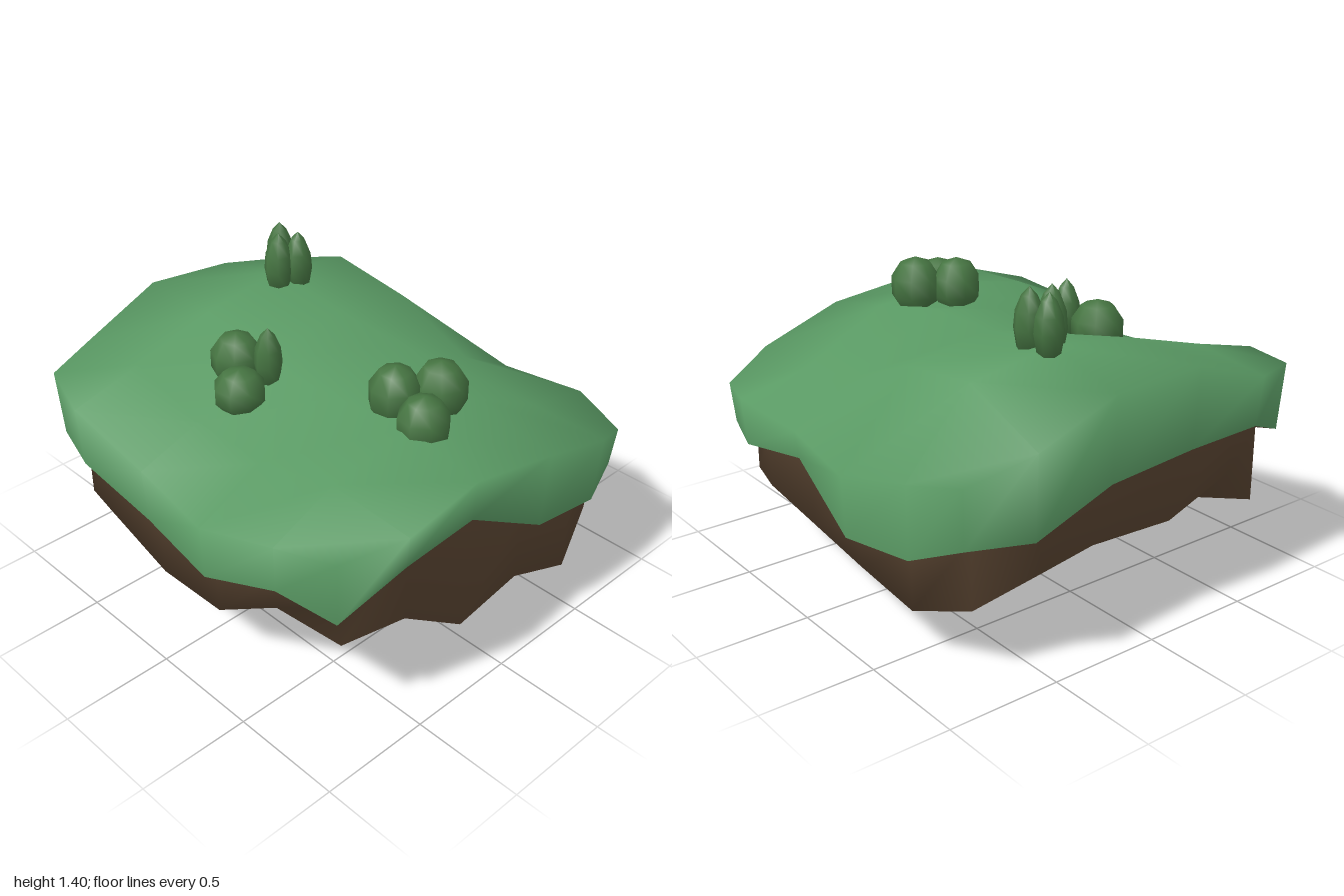
import * as THREE from 'three';
import { mergeVertices } from 'three/addons/utils/BufferGeometryUtils.js';

const N = 6; // grid points per side
const GRID = [-1, -0.6, -0.2, 0.2, 0.6, 1];

// Heights of the turf, one row per z (back to front), one column per x (left to right on screen)
const TURF = [
  [0.86, 0.79, 0.69, 0.74, 0.77, 0.74],
  [0.97, 1.12, 1.07, 0.91, 0.84, 0.84],
  [1.09, 1.18, 1.14, 1.13, 1.05, 0.97],
  [1.12, 1.13, 1.04, 1.05, 1.09, 1.03],
  [0.98, 1.02, 0.92, 0.92, 1.02, 1.00],
  [0.96, 0.94, 0.82, 0.77, 0.89, 0.94],
];
// Heights of the rock underside on the same layout
const ROCK = [
  [0.31, 0.22, 0.26, 0.31, 0.36, 0.33],
  [0.42, 0.20, 0.12, 0.14, 0.13, 0.19],
  [0.47, 0.22, 0.00, 0.12, 0.09, 0.32],
  [0.44, 0.25, 0.05, 0.19, 0.23, 0.26],
  [0.56, 0.32, 0.20, 0.26, 0.41, 0.50],
  [0.33, 0.40, 0.28, 0.29, 0.53, 0.46],
];
// Sideways shifts of the lowest rock points, by column and row
const NUDGE = { '2,2': [-0.09, -0.07], '2,3': [0.08, 0.11], '4,2': [-0.14, 0] };

// Lower edge of the overhanging turf, walked around the perimeter
const LIP = [
  0.60, 0.61, 0.72, 0.77, 0.76, 0.66, 0.67, 0.57, 0.52, 0.67,
  0.64, 0.85, 0.84, 0.62, 0.53, 0.56, 0.56, 0.62, 0.42, 0.47,
];

// Perimeter cells: left side, front, right side, back
const PERIMETER = [];
for (let k = 0; k < N - 1; k++) PERIMETER.push([0, k]);
for (let k = 0; k < N - 1; k++) PERIMETER.push([k, 5]);
for (let k = 5; k > 0; k--) PERIMETER.push([5, k]);
for (let k = 5; k > 0; k--) PERIMETER.push([k, 0]);

const onSide = (k) => k === 0 || k === N - 1;

// Slightly wavy square outline with cut corners
function turfPoint(i, j) {
  let x = GRID[i], z = GRID[j];
  const even = (i + j) % 2 === 0;
  if (onSide(i) && onSide(j)) { x *= 0.88; z *= 0.84; }
  else if (onSide(i)) x *= even ? 0.97 : 1;
  else if (onSide(j)) z *= even ? 0.93 : 0.9;
  return [x, TURF[j][i], z];
}

// Narrower outline with cut corners
function rockPoint(i, j) {
  const s = onSide(i) && onSide(j) ? 0.9 : 1;
  const [dx, dz] = NUDGE[`${i},${j}`] ?? [0, 0];
  return [GRID[i] * 0.9 * s + dx, ROCK[j][i], GRID[j] * 0.84 * s + dz];
}

// Closed strip between an upper and a lower ring
function band(out, upper, lower) {
  upper.forEach((a, k) => {
    const n = (k + 1) % upper.length;
    out.push(a, lower[k], upper[n], upper[n], lower[k], lower[n]);
  });
}

// Grid surface facing up or down
function sheet(out, point, up) {
  for (let j = 0; j < N - 1; j++) for (let i = 0; i < N - 1; i++) {
    const a = point(i, j), b = point(i, j + 1), c = point(i + 1, j + 1), d = point(i + 1, j);
    if (up) out.push(a, b, d, d, b, c);
    else out.push(a, d, b, d, c, b);
  }
}

function surface(points) {
  const raw = new THREE.BufferGeometry();
  raw.setAttribute('position', new THREE.Float32BufferAttribute(points.flat(), 3));
  const geometry = mergeVertices(raw, 1e-4);
  geometry.computeVertexNormals();
  return geometry;
}

export function createModel() {
  const model = new THREE.Group();
  const grass = new THREE.MeshStandardMaterial({ color: 0x5a9a64 });
  const earth = new THREE.MeshStandardMaterial({ color: 0x5e4834 });
  const leaf = new THREE.MeshStandardMaterial({ color: 0x467542 });

  const add = (parent, name, geometry, material) => {
    const mesh = new THREE.Mesh(geometry, material);
    mesh.name = name;
    parent.add(mesh);
    return mesh;
  };

  const rim = PERIMETER.map(([i, j]) => turfPoint(i, j));
  const lip = rim.map(([x, , z], k) => [x * 0.98, LIP[k], z * 0.985]);
  const wallBase = PERIMETER.map(([i, j]) => rockPoint(i, j));
  const wallTop = wallBase.map(([x, , z], k) => [x, LIP[k] + 0.01, z]);

  // Turf: rolling top with a draped skirt
  const turf = [];
  sheet(turf, turfPoint, true);
  band(turf, rim, lip);
  add(model, 'turf', surface(turf), grass);

  // Rock: overhang and walls running smoothly into the jagged bottom
  const rock = [];
  band(rock, lip, wallTop);
  band(rock, wallTop, wallBase);
  sheet(rock, rockPoint, false);
  add(model, 'rock', surface(rock), earth);

  // Round bush and seven-sided pointed shrub
  const bushGeometry = new THREE.SphereGeometry(1, 8, 5);
  const bud = [[0, -1], [0.75, -0.85], [1, -0.2], [0.9, 0.3], [0.5, 0.75], [0, 1]];
  const shrubGeometry = new THREE.LatheGeometry(bud.map(([r, y]) => new THREE.Vector2(r, y)), 7);

  // Each plant: [x, y, z, radius, half height]
  const plant = (parent, name, geometry, list) => list.forEach(([x, y, z, r, h], k) => {
    const mesh = add(parent, name, geometry, leaf);
    mesh.position.set(x, y, z);
    mesh.scale.set(r, h, r);
    mesh.rotation.y = k * 1.3;
  });

  const cluster = (name, bushes, shrubs) => {
    const group = new THREE.Group();
    group.name = name;
    plant(group, 'bush', bushGeometry, bushes);
    plant(group, 'shrub', shrubGeometry, shrubs);
    model.add(group);
  };

  cluster('sideBushes', [
    [0.54, 1.13, -0.05, 0.118, 0.135],
    [0.435, 1.13, 0.10, 0.114, 0.13],
    [0.62, 1.09, 0.13, 0.114, 0.125],
  ], []);
  cluster('frontBushes', [
    [-0.285, 1.07, 0.31, 0.116, 0.125],
    [-0.14, 1.02, 0.42, 0.116, 0.105],
  ], [[-0.135, 1.12, 0.265, 0.062, 0.14]]);
  cluster('backShrubs', [], [
    [-0.62, 1.27, -0.24, 0.062, 0.135],
    [-0.50, 1.26, -0.24, 0.064, 0.14],
    [-0.54, 1.26, -0.16, 0.066, 0.145],
  ]);

  return model;
}
